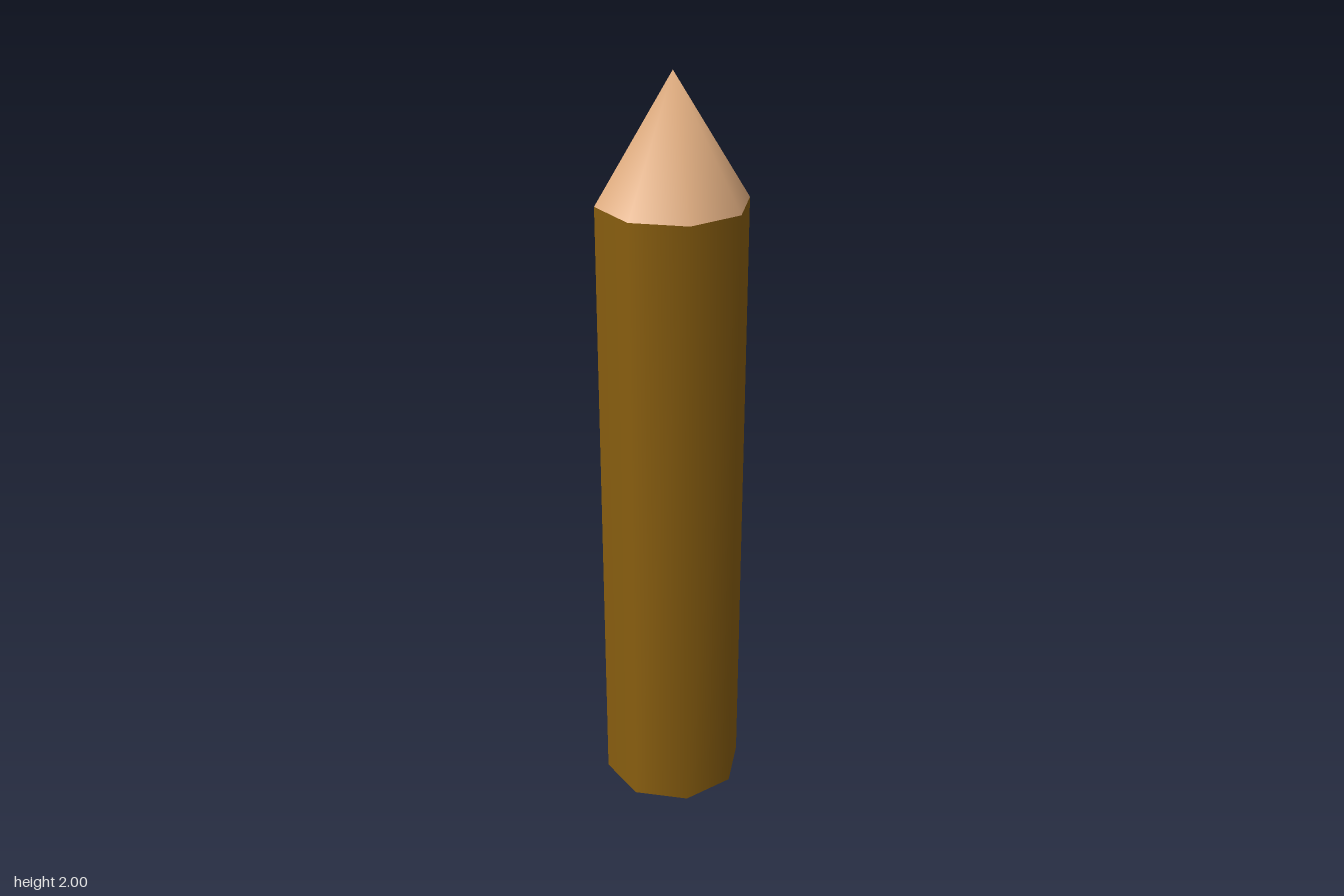
import * as THREE from 'three';
import { mergeVertices } from 'three/addons/utils/BufferGeometryUtils.js';

const RADIUS = 0.192;
const BODY_HEIGHT = 1.685;
const TOTAL_HEIGHT = 2;
const SIDES = 8;

export function createModel() {
  const model = new THREE.Group();
  model.name = 'woodenStake';

  const bark = new THREE.MeshStandardMaterial({ color: 0x8a5f10 });
  bark.name = 'brown bark';
  const wood = new THREE.MeshStandardMaterial({ color: 0xe0ad80 });
  wood.name = 'pale cut wood';

  const add = (name, geometry, material, y) => {
    const mesh = new THREE.Mesh(geometry, material);
    mesh.name = name;
    mesh.position.y = y;
    model.add(mesh);
  };

  // Octagonal shaft, smooth round the sides
  const shaft = new THREE.CylinderGeometry(RADIUS, RADIUS, BODY_HEIGHT, SIDES, 1, true);
  add('shaft', shaft, bark, BODY_HEIGHT / 2);

  // Sharpened point, smoothed across one shared apex
  const tipHeight = TOTAL_HEIGHT - BODY_HEIGHT;
  let tip = new THREE.ConeGeometry(RADIUS, tipHeight, SIDES, 1, true);
  tip.deleteAttribute('normal');
  tip.deleteAttribute('uv');
  tip = mergeVertices(tip);
  tip.computeVertexNormals();
  add('sharpenedTip', tip, wood, BODY_HEIGHT + tipHeight / 2);

  // Flat cut end facing down
  const cutEnd = new THREE.CircleGeometry(RADIUS, SIDES).rotateX(Math.PI / 2);
  add('cutEnd', cutEnd, wood, 0);

  return model;
}
